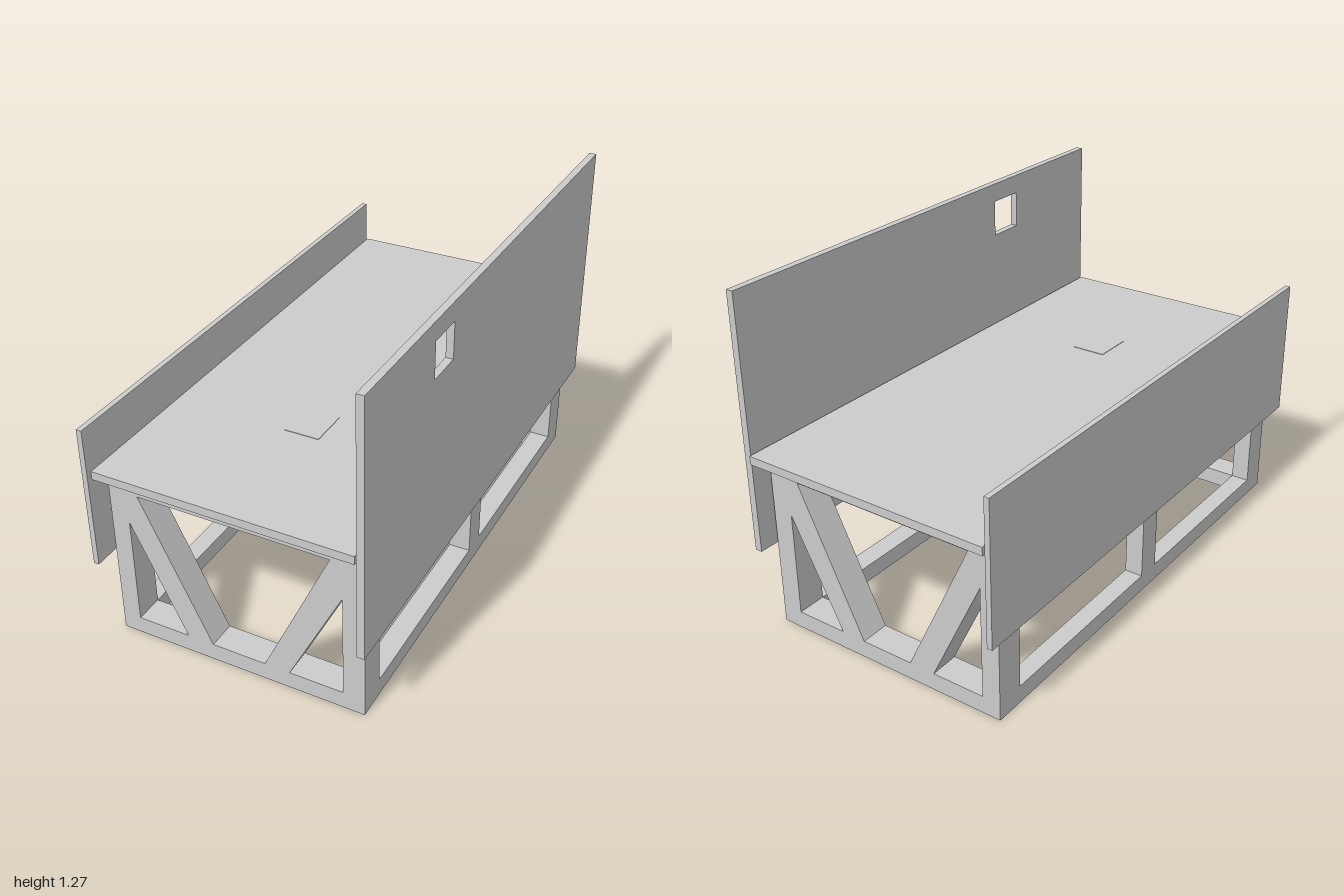
import * as THREE from 'three';

const material = new THREE.MeshStandardMaterial({ color: 0xcccccc, flatShading: true });

function add(parent, name, geometry) {
  const mesh = new THREE.Mesh(geometry, material);
  mesh.name = name;
  parent.add(mesh);
  return mesh;
}

// Box given by its limits along each axis
function block(parent, name, [x0, x1], [y0, y1], [z0, z1]) {
  const mesh = add(parent, name, new THREE.BoxGeometry(x1 - x0, y1 - y0, z1 - z0));
  mesh.position.set((x0 + x1) / 2, (y0 + y1) / 2, (z0 + z1) / 2);
  return mesh;
}

// Flat slab: outline with cut-outs, extruded along its normal
function slab(outline, holes, depth) {
  const points = (list) => list.map(([x, y]) => new THREE.Vector2(x, y));
  const shape = new THREE.Shape(points(outline));
  for (const hole of holes) shape.holes.push(new THREE.Path(points(hole)));
  return new THREE.ExtrudeGeometry(shape, { depth, bevelEnabled: false });
}

const rect = (x0, x1, y0, y1) => [[x0, y0], [x1, y0], [x1, y1], [x0, y1]];

export function createModel() {
  const model = new THREE.Group();
  model.name = 'workbench';

  const frame = new THREE.Group();
  frame.name = 'frame';
  model.add(frame);

  // End trusses: legs, rails and two slanted braces left between the openings
  const openings = [
    [[-0.408, 0.065], [-0.208, 0.065], [-0.408, 0.48]],
    [[-0.108, 0.065], [0.095, 0.065], [0.348, 0.6], [-0.365, 0.6]],
    [[0.19, 0.065], [0.39, 0.065], [0.39, 0.46]],
  ];
  const ends = [['frontTruss', 0.81, 0.915], ['backTruss', -0.915, -0.805]];
  for (const [name, z0, z1] of ends) {
    add(frame, name, slab(rect(-0.477, 0.469, 0, 0.672), openings, z1 - z0)).position.z = z0;
  }

  // Long rails and middle posts on both sides
  for (const [side, x] of [['left', [0.39, 0.469]], ['right', [-0.477, -0.408]]]) {
    block(frame, side + 'BottomRail', x, [0, 0.065], [-0.805, 0.81]);
    block(frame, side + 'TopRail', x, [0.6, 0.672], [-0.805, 0.81]);
    block(frame, side + 'MiddlePost', x, [0.065, 0.6], [-0.042, 0.053]);
  }

  // Deck with a small hatch plate
  block(model, 'deck', [-0.487, 0.467], [0.672, 0.703], [-1, 0.98]);
  block(model, 'hatch', [-0.053, 0.078], [0.7, 0.705], [0.335, 0.487]);

  // Low side panel
  block(model, 'lowPanel', [-0.508, -0.488], [0.335, 0.87], [-0.99, 1]);

  // Tall side panel with a square window, turned so the outline runs along z
  const tall = add(model, 'tallPanel', slab(
    rect(-0.99, 0.985, 0.32, 1.275),
    [rect(-0.515, -0.373, 1.068, 1.204)],
    0.027,
  ));
  tall.rotation.y = Math.PI / 2;
  tall.position.x = 0.478;

  return model;
}
